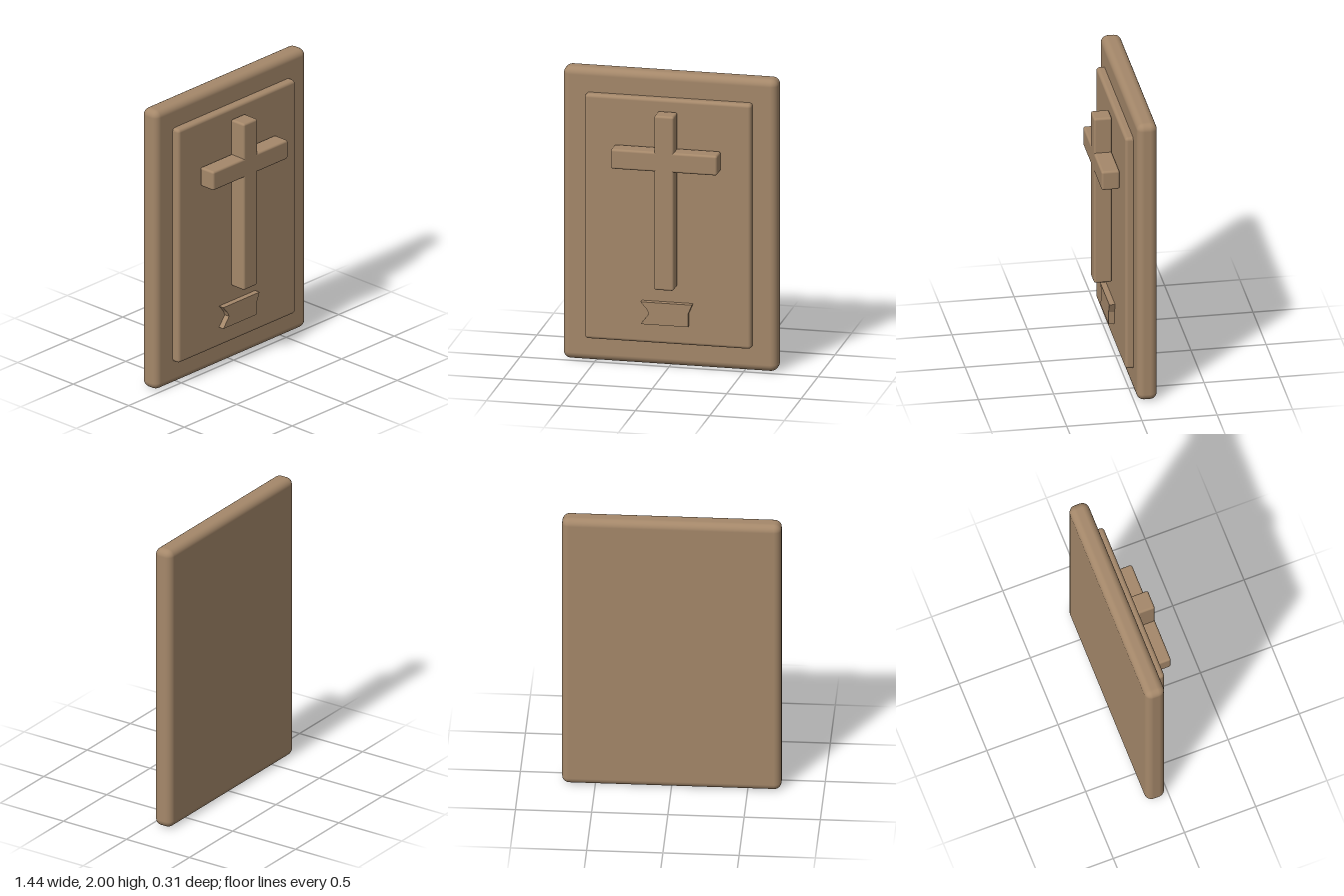
import * as THREE from 'three';
import { RoundedBoxGeometry } from 'three/addons/geometries/RoundedBoxGeometry.js';

export function createModel() {
  const group = new THREE.Group();
  const wood = new THREE.MeshStandardMaterial({ color: 0xa5886a });
  wood.name = 'tan wood';

  const add = (name, geometry) => {
    const mesh = new THREE.Mesh(geometry, wood);
    mesh.name = name;
    group.add(mesh);
    return mesh;
  };

  // Rounded block given by its lower and upper corners
  const block = (name, [x0, y0, z0], [x1, y1, z1], radius) =>
    add(name, new RoundedBoxGeometry(x1 - x0, y1 - y0, z1 - z0, 3, radius))
      .position.set((x0 + x1) / 2, (y0 + y1) / 2, (z0 + z1) / 2);

  // Backing board and raised panel
  block('backBoard', [-0.72, 0, -0.155], [0.72, 2, -0.02], 0.048);
  block('raisedPanel', [-0.56, 0.165, -0.06], [0.557, 1.84, 0.033], 0.022);

  // Cross
  block('crossUpright', [-0.067, 0.567, 0.035], [0.065, 1.76, 0.155], 0.015);
  block('crossBar', [-0.358, 1.377, 0.035], [0.356, 1.512, 0.155], 0.015);

  // Notched ribbon below the cross
  const ribbon = new THREE.Shape([
    [-0.175, 0.303], [0.143, 0.303], [0.143, 0.39], [0.17, 0.455],
    [-0.175, 0.455], [-0.133, 0.405], [-0.12, 0.375],
  ].map(([x, y]) => new THREE.Vector2(x, y)));
  add('ribbon', new THREE.ExtrudeGeometry(ribbon, { depth: 0.05, bevelEnabled: false }))
    .position.z = 0.022;

  return group;
}
